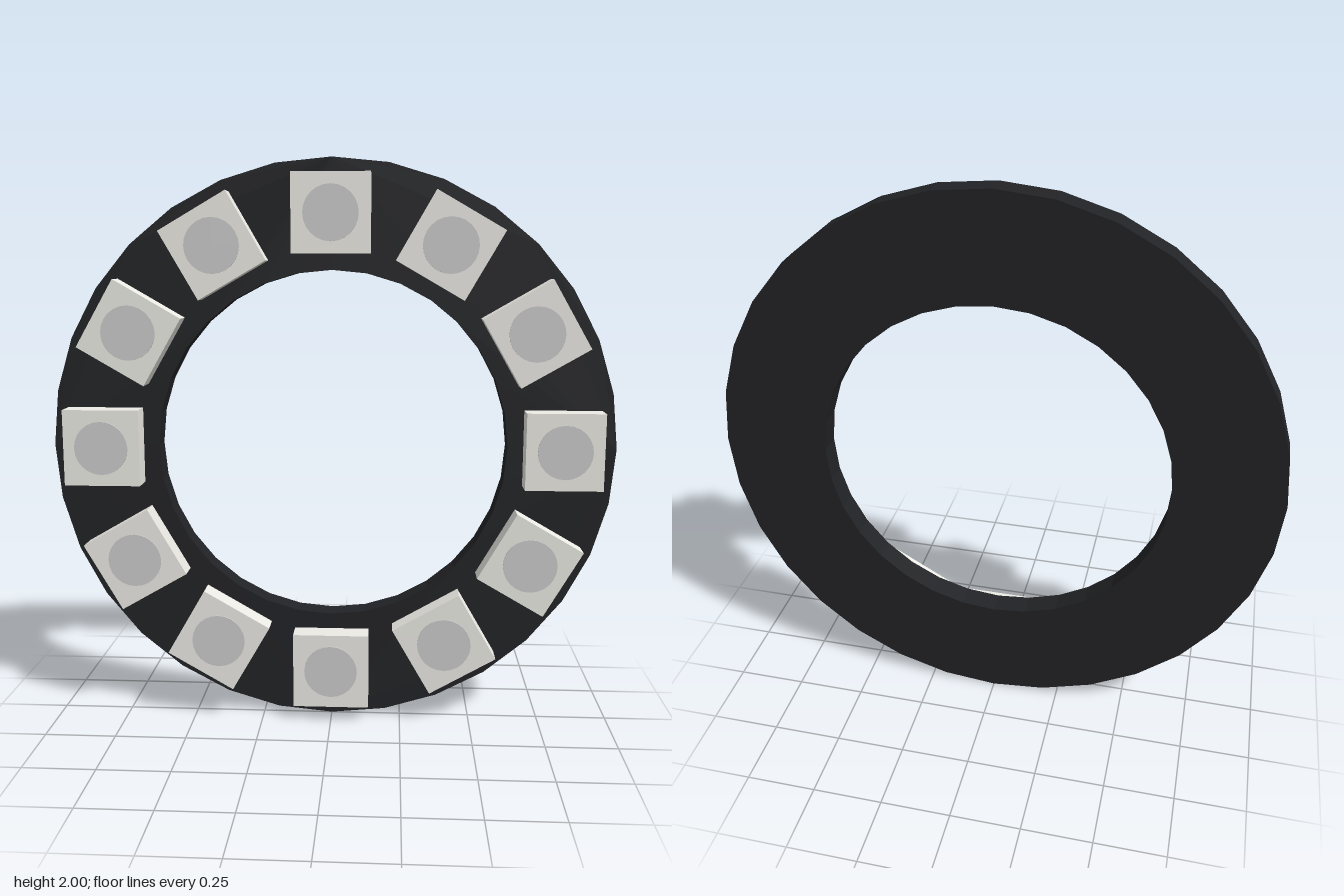
import * as THREE from 'three';

const SEGMENTS = 32;
const LIGHTS = 12;

// Regular polygon outline of the given radius
function circlePoints(radius) {
  return Array.from({ length: SEGMENTS }, (_, i) => {
    const a = (i / SEGMENTS) * Math.PI * 2;
    return new THREE.Vector2(Math.cos(a) * radius, Math.sin(a) * radius);
  });
}

export function createModel() {
  const model = new THREE.Group();
  model.name = 'ledRing';

  const boardMaterial = new THREE.MeshStandardMaterial({ color: 0x222326, flatShading: true });
  const housingMaterial = new THREE.MeshStandardMaterial({ color: 0xecebe5 });
  const lensMaterial = new THREE.MeshStandardMaterial({ color: 0xcccccc });

  // Flat ring-shaped circuit board
  const outline = new THREE.Shape(circlePoints(1));
  outline.holes.push(new THREE.Path(circlePoints(0.62)));
  const boardGeometry = new THREE.ExtrudeGeometry(outline, { depth: 0.085, bevelEnabled: false });
  const board = new THREE.Mesh(boardGeometry, boardMaterial);
  board.name = 'circuitBoard';
  board.position.set(0, 1, -0.085);
  model.add(board);

  // Square lights spaced evenly round the front, each with a round lens
  const housingGeometry = new THREE.BoxGeometry(0.27, 0.27, 0.083);
  const lensGeometry = new THREE.CylinderGeometry(0.095, 0.095, 0.02, 24).rotateX(Math.PI / 2);

  for (let i = 0; i < LIGHTS; i++) {
    const angle = (i / LIGHTS) * Math.PI * 2;
    const light = new THREE.Group();
    light.name = `light${i + 1}`;

    const housing = new THREE.Mesh(housingGeometry, housingMaterial);
    housing.name = 'lightHousing';
    housing.position.z = 0.0415;

    const lens = new THREE.Mesh(lensGeometry, lensMaterial);
    lens.name = 'lens';
    lens.position.z = 0.078;

    light.add(housing, lens);
    light.position.set(Math.cos(angle) * 0.81, 1 + Math.sin(angle) * 0.81, 0);
    light.rotation.z = angle;
    model.add(light);
  }

  return model;
}
